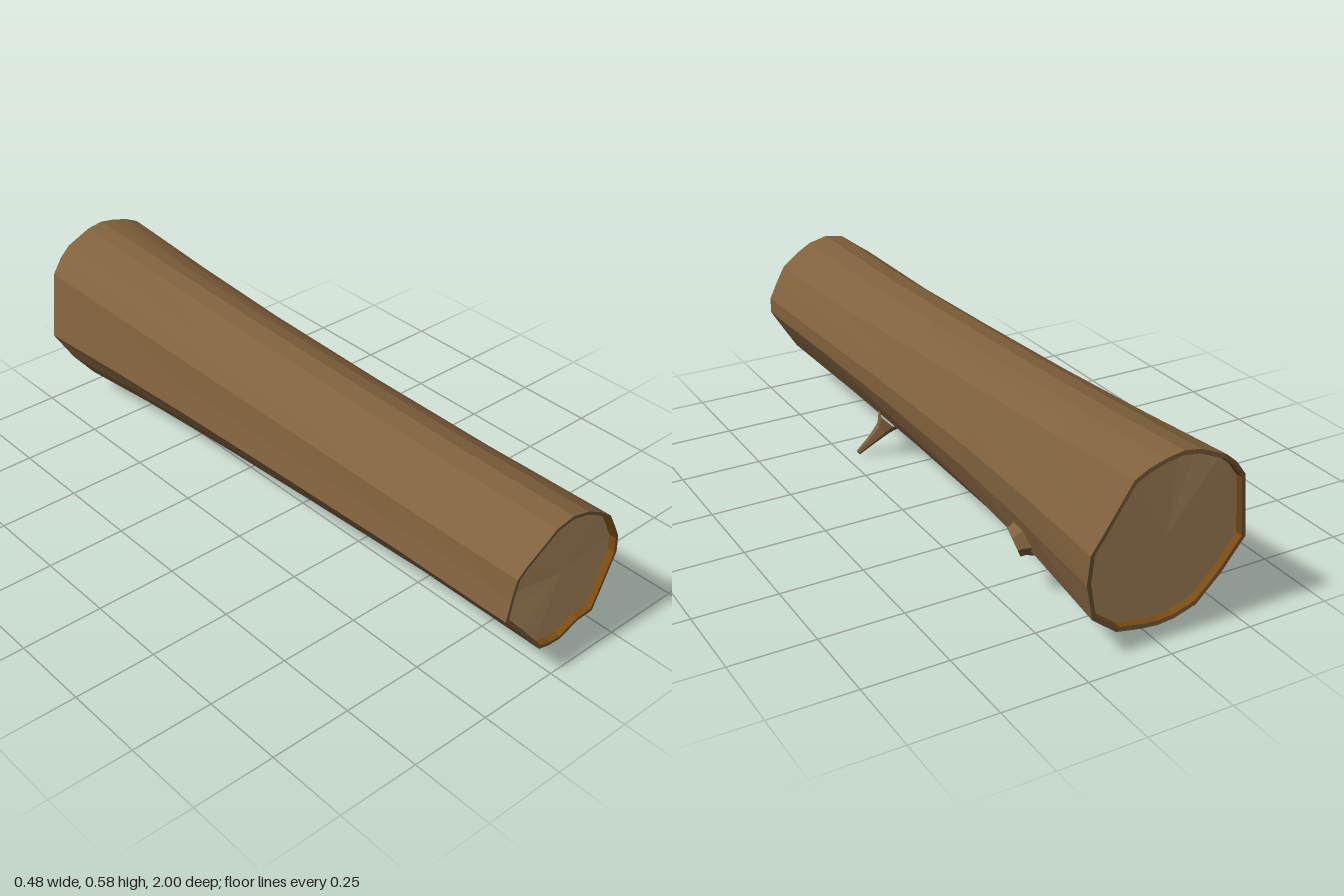
import * as THREE from 'three';

// Corners of the two end sections, counter-clockwise seen from +z
const FRONT = [[.237, .335], [.21, .385], [.18, .435], [.13, .472], [.08, .5], [.02, .515], [-.04, .505],
  [-.1, .46], [-.135, .435], [-.165, .405], [-.175, .34], [-.19, .28], [-.12, .2], [-.06, .125],
  [-.02, .115], [.02, .113], [.09, .138], [.145, .14], [.19, .21], [.237, .285]];
const BACK = [[.24, .345], [.21, .4], [.14, .535], [.1, .555], [.05, .57], [0, .578], [-.05, .57],
  [-.13, .535], [-.165, .505], [-.2, .46], [-.22, .36], [-.24, .26], [-.18, .16], [-.115, .08],
  [-.05, .057], [0, .052], [.05, .058], [.13, .075], [.21, .14], [.24, .255]];

// Skin a list of equal-length closed rings of Vector3
function loft(rings) {
  const n = rings[0].length, index = [];
  for (let r = 0; r < rings.length - 1; r++) {
    for (let i = 0; i < n; i++) {
      const a = r * n + i, b = r * n + (i + 1) % n;
      index.push(a, a + n, b, b, a + n, b + n);
    }
  }
  const geometry = new THREE.BufferGeometry().setFromPoints(rings.flat());
  geometry.setIndex(index);
  geometry.computeVertexNormals();
  return geometry;
}

// Section of the trunk: blend of the ends (t), pinched on the +x side
function section(t, pinch, zAt) {
  return FRONT.map(([fx, fy], i) => {
    const x = THREE.MathUtils.lerp(fx, BACK[i][0], t), y = THREE.MathUtils.lerp(fy, BACK[i][1], t);
    return new THREE.Vector3(x > 0 ? x * (1 - pinch) : x, y, zAt(y));
  });
}

const centreOf = ring => ring.reduce((s, p) => s.add(p), new THREE.Vector3()).divideScalar(ring.length);
const collapse = ring => { const c = centreOf(ring); return ring.map(() => c.clone()); };
function inset(ring, scale, dz) {
  const c = centreOf(ring);
  return ring.map(p => new THREE.Vector3(c.x + (p.x - c.x) * scale, c.y + (p.y - c.y) * scale, p.z + dz));
}

// Regular ring around a point, facing along dir
function ringAt(centre, dir, radius, sides) {
  const q = new THREE.Quaternion().setFromUnitVectors(new THREE.Vector3(0, 0, -1), dir);
  return Array.from({ length: sides }, (_, i) => {
    const a = i / sides * Math.PI * 2;
    return new THREE.Vector3(Math.cos(a) * radius, Math.sin(a) * radius, 0).applyQuaternion(q).add(centre);
  });
}

export function createModel() {
  const log = new THREE.Group();
  log.name = 'log';
  const material = (name, color) => {
    const m = new THREE.MeshStandardMaterial({ color, flatShading: true });
    m.name = name;
    return m;
  };
  const bark = material('bark', 0x80613d);
  const wood = material('cut wood', 0xc39c69);
  const inner = material('inner bark', 0x7a4c12);
  const add = (name, rings, mat) => {
    const mesh = new THREE.Mesh(loft(rings), mat);
    mesh.name = name;
    log.add(mesh);
  };

  // Trunk with slightly uneven cut ends
  const front = section(0, 0, y => 1 - .015 * Math.max(0, 1 - Math.abs(y - .32) / .18));
  const back = section(1, 0, y => -.935 - .065 * Math.min(1, (y - .05) / .48));
  const middle = [[.57, .03, .05], [.14, .22, .1], [-.3, .45, .11], [-.65, .7, .07]]
    .map(([z, t, pinch]) => section(t, pinch, () => z));
  const frontRim = inset(front, .95, 0), backRim = inset(back, .95, 0);
  add('trunkBark', [frontRim, front, ...middle, back, backRim], bark);

  // Recessed cut faces
  const frontCut = inset(frontRim, .99, -.02), backCut = inset(backRim, .99, .02);
  add('frontInnerBark', [frontCut, frontRim], inner);
  add('backInnerBark', [backRim, backCut], inner);
  add('frontCut', [collapse(frontCut), frontCut], wood);
  add('backCut', [backCut, collapse(backCut)], wood);

  // Thin twig, flared where it leaves the trunk
  const twigPath = [[.12, .135, .335, .045], [.138, .1, .345, .025], [.165, .063, .362, .016], [.204, .008, .394, .008]];
  const twigDir = new THREE.Vector3(.084, -.127, .059).normalize();
  const twig = twigPath.map(([x, y, z, r]) => ringAt(new THREE.Vector3(x, y, z), twigDir, r, 6));
  add('twig', [...twig, collapse(twig[3])], bark);

  // Sawn-off branch stub
  const stubDir = new THREE.Vector3(.88, -.38, .28).normalize();
  const stubBase = new THREE.Vector3(.2, .18, -.577);
  const along = (d, r) => ringAt(stubBase.clone().addScaledVector(stubDir, d), stubDir, r, 7);
  const stubEnd = along(.014, .036);
  add('branchStub', [along(-.035, .065), along(0, .046), along(.014, .044), stubEnd], bark);
  add('branchStubCut', [stubEnd, collapse(stubEnd)], wood);

  return log;
}
